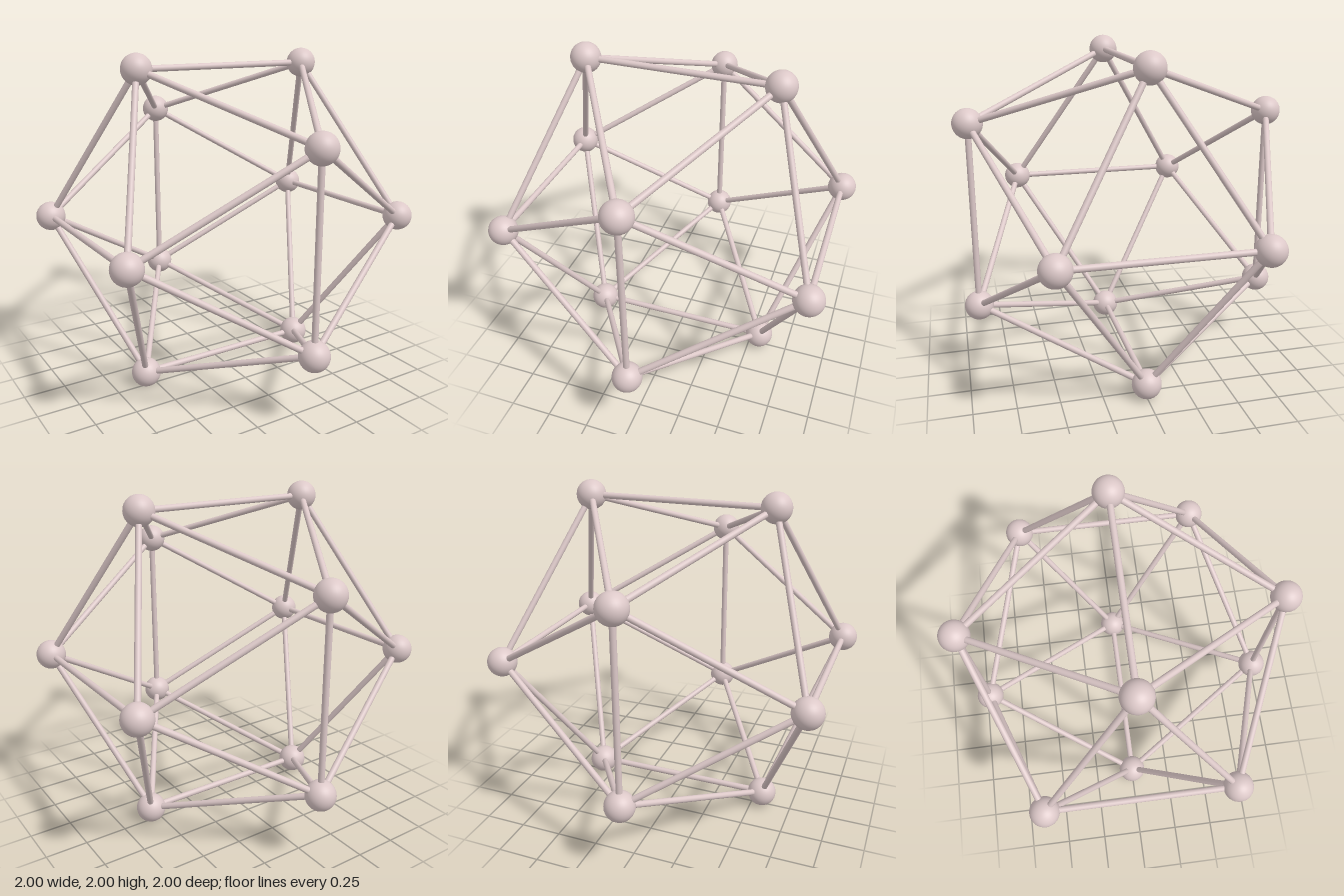
import * as THREE from 'three';

// Ball-and-rod icosahedron frame resting on two balls
export function createModel() {
  const model = new THREE.Group();
  model.name = 'icosahedronFrame';
  const material = new THREE.MeshStandardMaterial({ color: 0xdcc8c8 });

  const ballRadius = 0.088;
  const rodRadius = 0.0185;
  const long = 1 - ballRadius;
  const short = long / ((1 + Math.sqrt(5)) / 2);

  // Corners of three mutually perpendicular golden rectangles
  const corners = [];
  for (const s of [-short, short]) {
    for (const l of [-long, long]) {
      corners.push(
        new THREE.Vector3(s, 1 + l, 0),
        new THREE.Vector3(0, 1 + s, l),
        new THREE.Vector3(l, 1, s)
      );
    }
  }

  // Joint balls
  const joints = new THREE.Group();
  joints.name = 'joints';
  const ballGeometry = new THREE.SphereGeometry(ballRadius, 32, 20);
  for (const corner of corners) {
    const ball = new THREE.Mesh(ballGeometry, material);
    ball.name = 'jointBall';
    ball.position.copy(corner);
    joints.add(ball);
  }

  // Rods between neighbouring corners, with ends hidden in the balls
  const rods = new THREE.Group();
  rods.name = 'rods';
  const edge = 2 * short;
  const rodGeometry = new THREE.CylinderGeometry(rodRadius, rodRadius, edge, 20, 1, true);
  const up = new THREE.Vector3(0, 1, 0);
  corners.forEach((a, i) => {
    for (const b of corners.slice(i + 1)) {
      if (a.distanceTo(b) > edge * 1.01) continue;
      const rod = new THREE.Mesh(rodGeometry, material);
      rod.name = 'rod';
      rod.position.copy(a).lerp(b, 0.5);
      rod.quaternion.setFromUnitVectors(up, b.clone().sub(a).normalize());
      rods.add(rod);
    }
  });

  model.add(joints, rods);
  return model;
}
